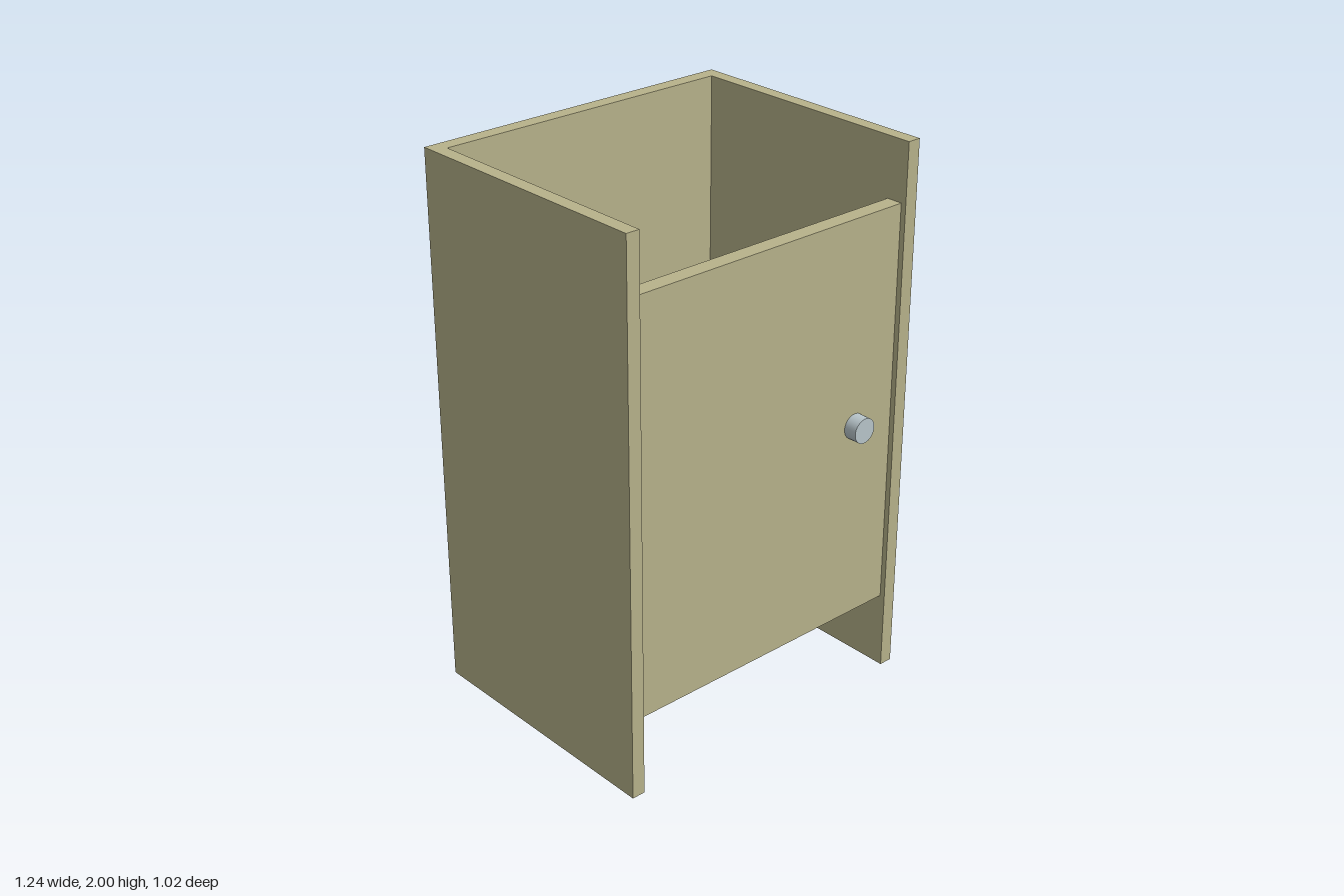
import * as THREE from 'three';

export function createModel() {
  const group = new THREE.Group();
  const wood = new THREE.MeshStandardMaterial({ color: 0xb8b38b });
  const metal = new THREE.MeshStandardMaterial({ color: 0xb9c6cb });

  const add = (name, geometry, material, x, y, z) => {
    const mesh = new THREE.Mesh(geometry, material);
    mesh.name = name;
    mesh.position.set(x, y, z);
    group.add(mesh);
    return mesh;
  };

  // Carcass: two sides and a back as one U-shaped plan, open at top and bottom
  const outer = 0.62, inner = 0.57, back = 0.51, innerBack = 0.455, front = -0.48;
  const plan = new THREE.Shape([
    [-outer, front], [-inner, front], [-inner, innerBack], [inner, innerBack],
    [inner, front], [outer, front], [outer, back], [-outer, back],
  ].map(([x, y]) => new THREE.Vector2(x, y)));
  const carcass = new THREE.ExtrudeGeometry(plan, { depth: 2, bevelEnabled: false });
  carcass.rotateX(-Math.PI / 2);
  add('carcass', carcass, wood, 0, 0, 0);

  // Door: slightly recessed between the sides
  add('door', new THREE.BoxGeometry(inner * 2, 1.5, 0.06), wood, 0, 1.035, 0.43);

  // Round knob on the door
  const knob = new THREE.CylinderGeometry(0.046, 0.046, 0.05, 32);
  knob.rotateX(Math.PI / 2);
  add('knob', knob, metal, 0.392, 1.03, 0.485);

  return group;
}
